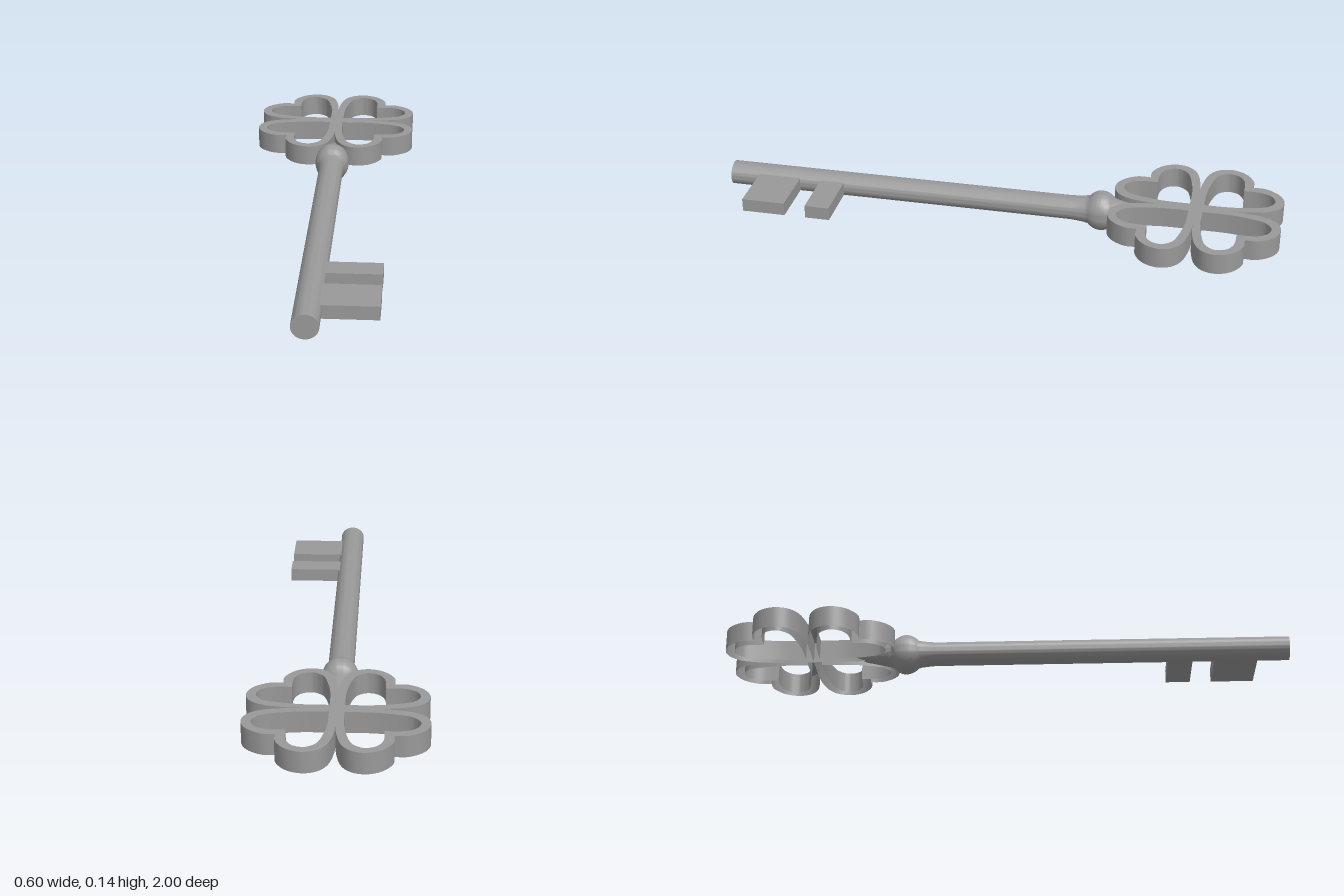
import * as THREE from 'three';
import { toCreasedNormals } from 'three/addons/utils/BufferGeometryUtils.js';

// Closed heart outline: smooth half curve from tip to notch, mirrored on the diagonal
function heartOutline(half) {
  const curve = new THREE.SplineCurve(half.map(([x, y]) => new THREE.Vector2(x, y)));
  const a = curve.getPoints(32);
  const b = a.slice(1, -1).reverse().map((p) => new THREE.Vector2(p.y, p.x));
  return a.concat(b);
}

// Extruded heart frame, hollow underneath: the lower cap comes first and is left off
function heartFrame(outer, inner, depth) {
  const shape = new THREE.Shape(heartOutline(outer));
  shape.holes.push(new THREE.Path(heartOutline(inner).reverse()));
  const solid = new THREE.ExtrudeGeometry(shape, { depth, bevelEnabled: false });
  const skip = solid.groups[0].count / 2;
  const open = new THREE.BufferGeometry();
  open.setAttribute('position',
    new THREE.BufferAttribute(solid.attributes.position.array.slice(skip * 3), 3));
  return toCreasedNormals(open, 0.6).rotateX(-Math.PI / 2);
}

// Turned shaft, collar and neck in one, from the neck tip to the flat end
function shaftGeometry() {
  const profile = [[0, -0.56], [0.014, -0.54], [0.026, -0.51], [0.034, -0.47], [0.044, -0.425]];
  for (let i = 0; i <= 16; i++) {
    const t = 0.8 * (i / 8 - 1);
    profile.push([0.0725 * Math.cos(t), -0.367 + 0.06 * Math.sin(t)]);
  }
  profile.push([0.0475, -0.312], [0.0445, -0.29], [0.042, -0.26], [0.042, 1], [0, 1]);
  const geometry = new THREE.LatheGeometry(profile.map(([r, z]) => new THREE.Vector2(r, z)), 48);
  geometry.rotateX(Math.PI / 2);

  // The shaft is slightly wide, the collar slightly tall
  const p = geometry.attributes.position;
  for (let i = 0; i < p.count; i++) {
    const r = Math.hypot(p.getX(i), p.getY(i));
    p.setX(i, p.getX(i) * (1.07 - 6.6 * Math.max(0, r - 0.042)));
  }
  return toCreasedNormals(geometry, 1);
}

export function createModel() {
  const key = new THREE.Group();
  key.name = 'key';
  const material = new THREE.MeshStandardMaterial({ color: 0x999999 });
  const openMaterial = new THREE.MeshStandardMaterial({ color: 0x999999, side: THREE.DoubleSide });

  function add(name, geometry, parent = key, mat = material) {
    const mesh = new THREE.Mesh(geometry, mat);
    mesh.name = name;
    parent.add(mesh);
    return mesh;
  }

  add('shaft', shaftGeometry()).position.set(0.002, 0.0735, 0);

  // Bow: four open hearts with their tips meeting at the centre
  const outer = [[0, 0], [0, 0.11], [0.004, 0.175], [0.02, 0.245], [0.052, 0.287],
    [0.1, 0.3], [0.15, 0.279], [0.183, 0.23], [0.184, 0.184]];
  const inner = [[0.025, 0.025], [0.026, 0.11], [0.035, 0.175], [0.051, 0.235], [0.075, 0.261],
    [0.1, 0.268], [0.132, 0.254], [0.152, 0.215], [0.154, 0.154]];
  const heart = heartFrame(outer, inner, 0.074);
  const bow = new THREE.Group();
  bow.name = 'bow';
  bow.position.set(0, 0.049, -0.701);
  key.add(bow);
  for (let i = 0; i < 4; i++) {
    add('heart' + (i + 1), heart, bow, openMaterial).rotation.y = (i * Math.PI) / 2;
  }

  // Two flat teeth on the left side of the shaft
  [[0.572, 0.66], [0.737, 0.892]].forEach(([z0, z1], i) => {
    const tooth = add('tooth' + (i + 1), new THREE.BoxGeometry(0.218, 0.047, z1 - z0));
    tooth.position.set(0.12, 0.0725, (z0 + z1) / 2);
  });

  return key;
}
